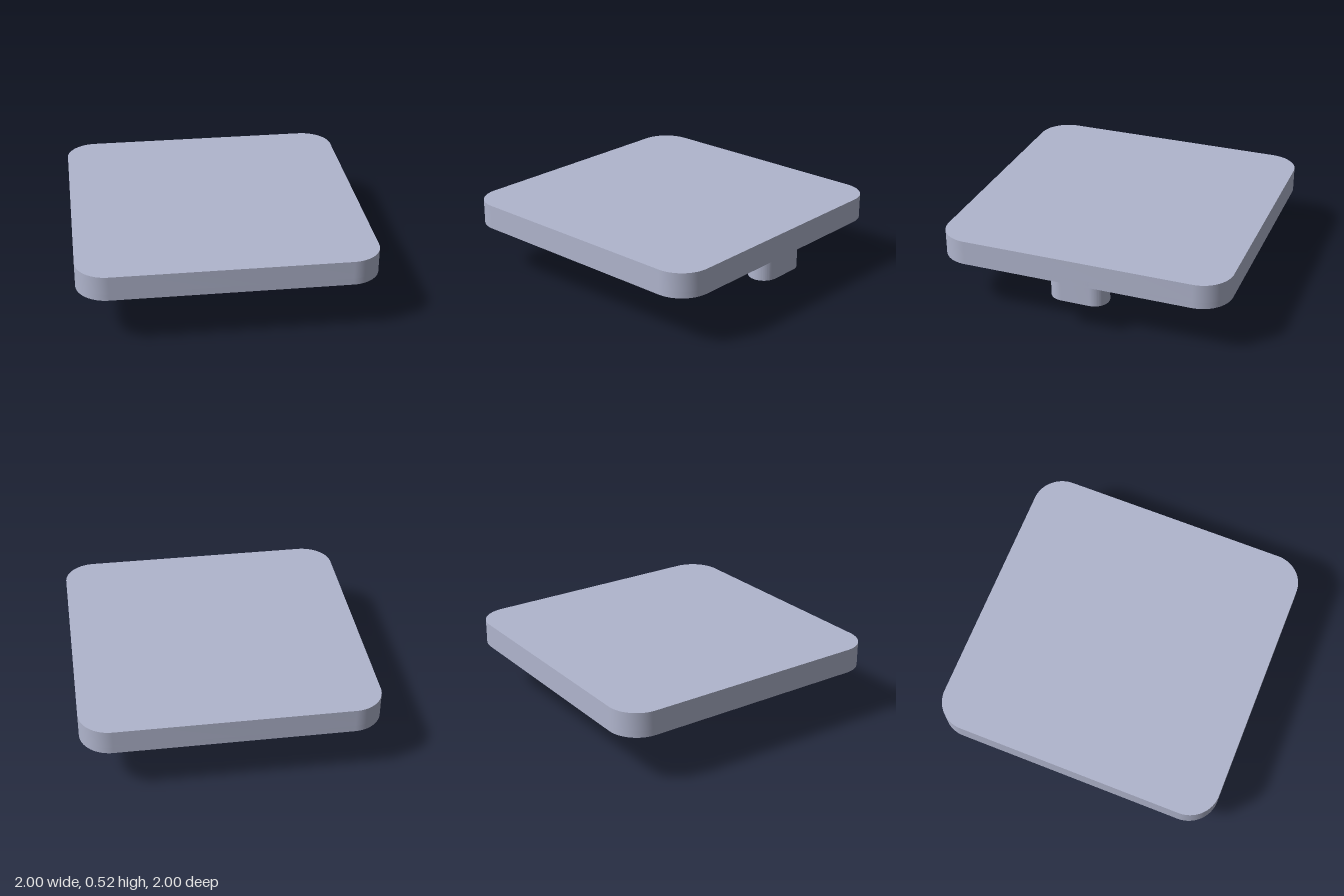
import * as THREE from 'three';
import { toCreasedNormals } from 'three/addons/utils/BufferGeometryUtils.js';

const TOP = 0.525, FLOOR = 0.4, RIM = 0.355;

// Rounded rectangle centred on (cx, 0)
function roundedRect(w, h, r, cx = 0) {
  const s = new THREE.Shape(), x = w / 2 - r, y = h / 2 - r;
  s.absarc(cx + x, y, r, 0, Math.PI / 2);
  s.absarc(cx - x, y, r, Math.PI / 2, Math.PI);
  s.absarc(cx - x, -y, r, Math.PI, Math.PI * 1.5);
  s.absarc(cx + x, -y, r, Math.PI * 1.5, Math.PI * 2);
  s.closePath();
  return s;
}

// Upright prism from y0 to y1 with smooth curves and sharp edges
function prism(shape, y0, y1) {
  const g = new THREE.ExtrudeGeometry(shape, { depth: y1 - y0, bevelEnabled: false, curveSegments: 16 });
  g.rotateX(-Math.PI / 2).translate(0, y0, 0);
  return toCreasedNormals(g, 0.5);
}

// Half of the split post: a disc segment beside the slot, chamfered at the foot
function postHalf(r, slotHalf, chamfer) {
  const a = Math.acos(slotHalf / r), s = new THREE.Shape();
  s.absarc(0, 0, r, -a, a);
  s.closePath();
  const g = new THREE.ExtrudeGeometry(s, { depth: FLOOR, steps: 2, bevelEnabled: false, curveSegments: 28 });
  const p = g.attributes.position, k = (r - chamfer) / r;
  for (let i = 0; i < p.count; i++) {
    const z = p.getZ(i);
    if (z < 0.01) p.setXY(i, Math.max(p.getX(i) * k, slotHalf), p.getY(i) * k);
    else if (z < FLOOR - 0.01) p.setZ(i, chamfer);
  }
  g.rotateX(-Math.PI / 2);
  g.computeVertexNormals();
  return toCreasedNormals(g, 0.5);
}

export function createModel() {
  const model = new THREE.Group();
  model.name = 'cap';
  const plastic = new THREE.MeshStandardMaterial({ color: 0xb0b5cd });
  plastic.name = 'blue grey plastic';

  const add = (name, geometry, parent = model) => {
    const mesh = new THREE.Mesh(geometry, plastic);
    mesh.name = name;
    parent.add(mesh);
    return mesh;
  };

  // Rounded plate, with a rim around a square recess underneath
  add('plate', prism(roundedRect(2, 2, 0.21), FLOOR, TOP));
  const rim = roundedRect(2, 2, 0.21), w = 0.855;
  rim.holes.push(new THREE.Path([[-w, -w], [-w, w], [w, w], [w, -w]].map(([x, y]) => new THREE.Vector2(x, y))));
  add('rim', prism(rim, RIM, FLOOR));

  // Locating tab flush with the edge
  add('tab', prism(roundedRect(0.2, 0.4, 0.1, 0.9), 0.22, FLOOR));

  // Central post split by a diagonal slot
  const post = new THREE.Group();
  post.name = 'post';
  const half = postHalf(0.165, 0.031, 0.025);
  for (let i = 0; i < 2; i++) add('postHalf', half, post).rotation.y = -Math.PI / 4 + i * Math.PI;
  model.add(post);

  return model;
}
